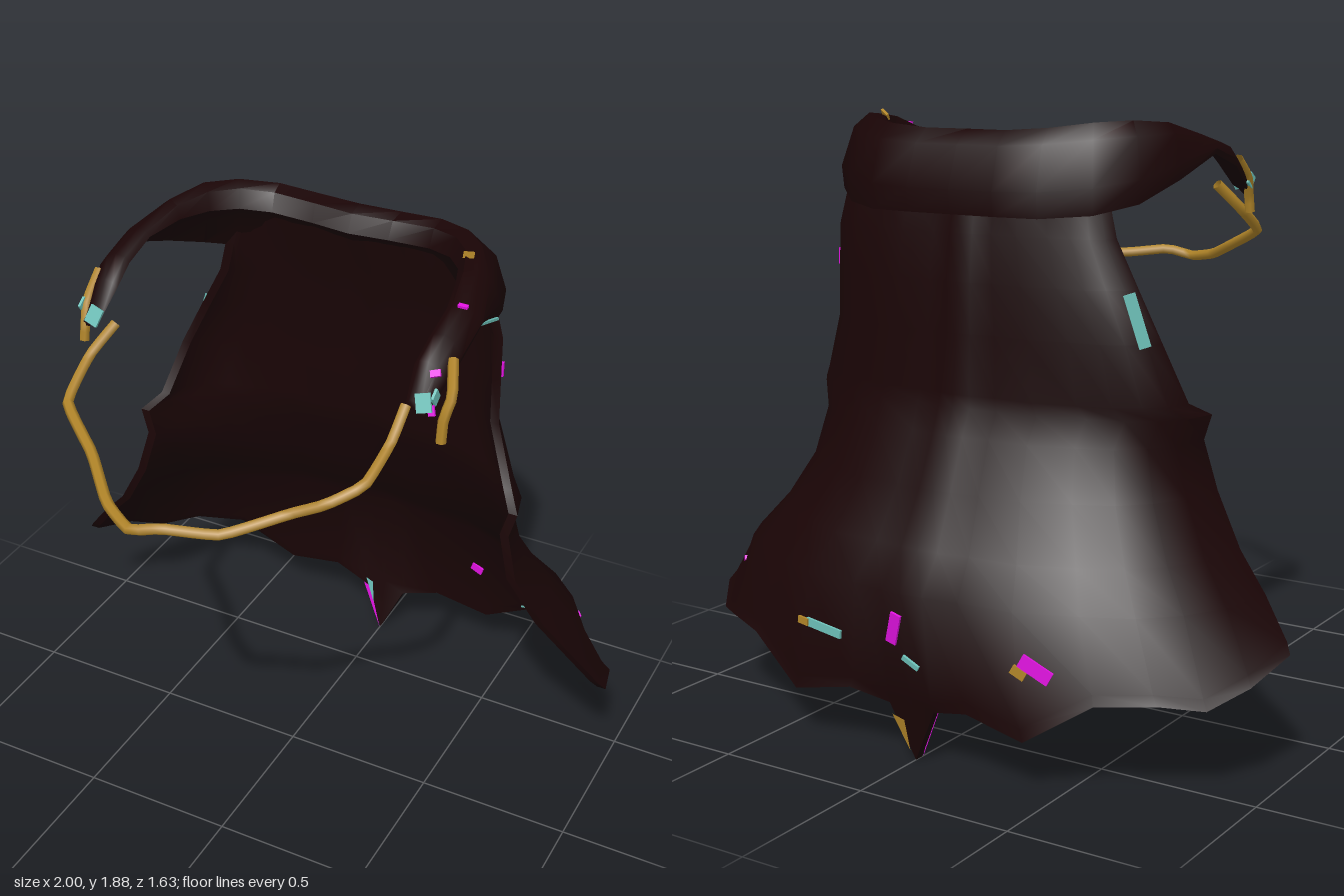
import * as THREE from 'three';
import { toCreasedNormals } from 'three/addons/utils/BufferGeometryUtils.js';

const paint = (name, color) => {
  const m = new THREE.MeshStandardMaterial({ color, side: THREE.DoubleSide });
  m.name = name;
  return m;
};

// Skins a row of closed loops; both ends are zipped shut (point j to point n-1-j).
function loft(loops) {
  const n = loops[0].length, last = loops.length - 1, index = [];
  const id = (r, j) => r * n + (j + n) % n;
  for (let r = 0; r < last; r++)
    for (let j = 0; j < n; j++)
      index.push(id(r, j), id(r, j + 1), id(r + 1, j), id(r, j + 1), id(r + 1, j + 1), id(r + 1, j));
  for (let j = 0; j < n / 2 - 1; j++) {
    const a = [id(0, j), id(0, j + 1), id(0, n - 2 - j), id(0, n - 1 - j)];
    index.push(a[0], a[3], a[1], a[1], a[3], a[2]);
    const b = a.map(i => i + last * n);
    index.push(b[0], b[1], b[3], b[1], b[2], b[3]);
  }
  const g = new THREE.BufferGeometry();
  g.setAttribute('position', new THREE.Float32BufferAttribute(loops.flat(2), 3));
  g.setIndex(index);
  return toCreasedNormals(g, 0.9);
}

// Cape: height, half width on the right and left, z of the side edge, z of the middle back
const CAPE = [
  [1.78, 0.41, 0.41, -0.38, -0.42], [1.64, 0.44, 0.5, -0.37, -0.46], [1.54, 0.46, 0.53, -0.365, -0.48],
  [1.4, 0.53, 0.535, -0.36, -0.5], [1.25, 0.6, 0.545, -0.345, -0.51], [1.07, 0.65, 0.63, -0.275, -0.525],
  [1.03, 0.69, 0.68, -0.205, -0.53], [0.95, 0.66, 0.66, -0.195, -0.565], [0.8, 0.7, 0.7, -0.18, -0.63],
  [0.64, 0.79, 0.8, -0.205, -0.71], [0.53, 0.89, 0.89, -0.24, -0.8], [0.41, 0.98, 0.98, -0.28, -0.815],
  [0.38, 1, 1, -0.3, -0.815],
];
// Jagged hem: fraction of the half width, height
const HEM = [[0, 0], [0.08, 0.17], [0.21, 0.2], [0.41, 0.16], [0.61, 0.29], [0.77, 0.3],
  [0.88, 0.28], [0.96, 0.33], [1, 0.385]];

function capeGeometry() {
  const cols = [...HEM.slice(1).reverse().map(([s, y]) => [-s, y]), ...HEM];
  return loft(CAPE.map(([level, wr, wl, zf, zb], r) => {
    const fromHem = CAPE.length - 1 - r;
    const side = thick => cols.map(([s, hemY]) => {
      const c = Math.sqrt(1 - s * s);
      const fold = r && fromHem ? 0.008 * c * (1 - Math.cos(s * 16)) : 0;
      // the middle of the hem curls forward
      const curl = fromHem < 2 ? (0.08 - 0.02 * fromHem) * Math.max(0, 1 - Math.abs(s) / 0.35) : 0;
      const z = zb + (zf - zb) * Math.pow(1 - c, 1.2) + fold + curl + thick * c;
      // the last two rows follow the jagged hem
      const y = fromHem === 0 ? hemY : fromHem === 1 ? Math.max(hemY, 0.17) + 0.03 : level;
      return [s * ((s < 0 ? wr : wl) - thick), y, z];
    });
    return [...side(0), ...side(0.03).reverse()];
  }));
}

// Collar stations from the nape to the tip: inner x z, outer x z, top, bottom
const COLLAR = [
  [0, -0.36, 0, -0.54, 1.84, 1.6], [0.13, -0.375, 0.15, -0.54, 1.84, 1.6],
  [0.27, -0.37, 0.29, -0.525, 1.85, 1.6], [0.36, -0.32, 0.43, -0.45, 1.865, 1.61],
  [0.42, -0.24, 0.53, -0.36, 1.87, 1.64], [0.46, -0.13, 0.575, -0.2, 1.86, 1.7],
  [0.49, 0, 0.595, -0.02, 1.82, 1.765], [0.49, 0.12, 0.595, 0.12, 1.79, 1.72],
  [0.485, 0.2, 0.58, 0.2, 1.745, 1.67], [0.5, 0.28, 0.56, 0.28, 1.66, 1.62],
];
// Rolled section: inner to outer, bottom to top
const ROLL = [[0, 0.72], [0.15, 0.95], [0.45, 1], [0.75, 0.82], [1, 0.3], [0.96, 0], [0.65, 0.04], [0.3, 0.5]];

function collarGeometry() {
  const stations = [...COLLAR.slice(1).reverse(),
    ...COLLAR.map(([ix, iz, ox, oz, t, b]) => [-ix, iz, -ox, oz, t, b])];
  return loft(stations.map(([ix, iz, ox, oz, t, b]) => ROLL.map(([w, h]) =>
    [ix + (ox - ix) * w, b + (t - b) * h, iz + (oz - iz) * w])));
}

function cord(points, segments, radius) {
  const path = new THREE.CatmullRomCurve3(points.map(p => new THREE.Vector3(...p)), false, 'catmullrom', 0.2);
  return new THREE.TubeGeometry(path, segments, radius, 6);
}

function triangle(...corners) {
  const g = new THREE.BufferGeometry();
  g.setAttribute('position', new THREE.Float32BufferAttribute(corners.flat(), 3));
  g.computeVertexNormals();
  return g;
}

export function createModel() {
  const cloth = paint('dark maroon cloth', 0x190405);
  const gold = paint('gold', 0xb08428);
  const magenta = paint('magenta', 0xe012e0);
  const teal = paint('teal', 0x6cc0b8);
  const model = new THREE.Group();
  model.name = 'cape';
  const add = (name, geometry, material, pos = [0, 0, 0], rot = [0, 0, 0]) => {
    const m = new THREE.Mesh(geometry, material);
    m.name = name;
    m.position.set(...pos);
    m.rotation.set(...rot);
    model.add(m);
  };

  add('capeCloth', capeGeometry(), cloth);
  add('collar', collarGeometry(), cloth);

  // Chain hanging across the chest
  add('chain', cord([
    [-0.45, 1.65, 0.27], [-0.495, 1.57, 0.35], [-0.48, 1.49, 0.5], [-0.33, 1.42, 0.61],
    [-0.2, 1.37, 0.74], [-0.09, 1.35, 0.8], [0, 1.37, 0.78], [0.15, 1.355, 0.71],
    [0.31, 1.41, 0.6], [0.4, 1.45, 0.57], [0.485, 1.5, 0.5], [0.495, 1.56, 0.36], [0.5, 1.64, 0.28],
  ], 48, 0.017), gold);

  // Gold trims running down the collar tips, with small clasps
  for (const [side, x, low, claspX] of [[-1, 0.56, 1.57, 0.515], [1, 0.61, 1.55, 0.555]]) {
    add('trim', cord([[side * 0.58, 1.74, 0.15], [side * (x + 0.01), 1.68, 0.24],
      [side * x, 1.62, 0.27], [side * x, low, 0.28]], 8, 0.016), gold);
    add('claspFront', new THREE.BoxGeometry(0.045, 0.055, 0.008), teal, [side * claspX, 1.665, 0.286], [-0.4, 0, side * 0.3]);
    add('claspSide', new THREE.BoxGeometry(0.008, 0.04, 0.035), teal, [side * 0.575, 1.67, 0.25], [0.6, 0, 0]);
  }

  // Small scraps: material, width, height, place, yaw, tilt, pitch
  const scraps = [
    // collar
    [magenta, 0.03, 0.02, [0.565, 1.735, 0.235], 0, 0.4, -0.8],
    [magenta, 0.02, 0.03, [0.575, 1.64, 0.275], 0, 0.3, -0.3],
    [magenta, 0.03, 0.014, [0.54, 1.825, 0], 0, 0, -1.4],
    [gold, 0.045, 0.02, [0.455, 1.862, -0.232], -0.6, 0.1, -0.5],
    [teal, 0.15, 0.008, [0.588, 1.75, -0.08], 1.57, -0.33, 0],
    // inside
    [magenta, 0.05, 0.028, [-0.41, 0.385, -0.74], 0.2, -0.5, 0],
    [gold, 0.02, 0.016, [-0.385, 0.375, -0.738], 0.2, -0.5, 0],
    [magenta, 0.045, 0.028, [0.355, 0.363, -0.748], -0.17, -0.3, 0],
    [magenta, 0.022, 0.014, [0.805, 0.45, -0.555], -0.72, -0.5, 0],
    [teal, 0.06, 0.014, [0.57, 0.295, -0.712], -0.3, 0.4, 0],
    // outside
    [magenta, 0.1, 0.042, [-0.455, 0.385, -0.79], 0.22, 0.5, 0],
    [gold, 0.045, 0.028, [-0.405, 0.37, -0.799], 0.2, 0.5, 0],
    [magenta, 0.035, 0.1, [0.03, 0.42, -0.795], 0, 0.3, -0.136],
    [teal, 0.14, 0.026, [0.28, 0.38, -0.807], -0.1, 0.1, 0],
    [gold, 0.04, 0.022, [0.36, 0.388, -0.804], -0.12, 0.1, 0],
    [teal, 0.06, 0.016, [-0.02, 0.32, -0.782], 0, 0.5, -0.136],
    // side edges
    [teal, 0.035, 0.16, [-0.558, 1.32, -0.417], 0.64, -0.3, 0],
    [magenta, 0.008, 0.05, [0.533, 1.43, -0.372], 1.57, 0, 0],
  ];
  for (const [mat, w, h, pos, yaw, tilt, pitch] of scraps)
    add('scrap', new THREE.BoxGeometry(w, h, 0.008), mat, pos, [pitch, yaw, tilt]);

  // Bright linings along the edges of the hem point
  add('pointLining', triangle([-0.078, 0.175, -0.716], [0, 0, -0.698], [-0.05, 0.165, -0.714]), magenta);
  add('pointLiningTop', triangle([-0.068, 0.2, -0.714], [-0.04, 0.19, -0.712], [-0.03, 0.1, -0.704]), teal);
  add('pointBacking', triangle([0.065, 0.14, -0.761], [0.012, 0.03, -0.746], [0.02, 0.13, -0.763]), gold);
  return model;
}
